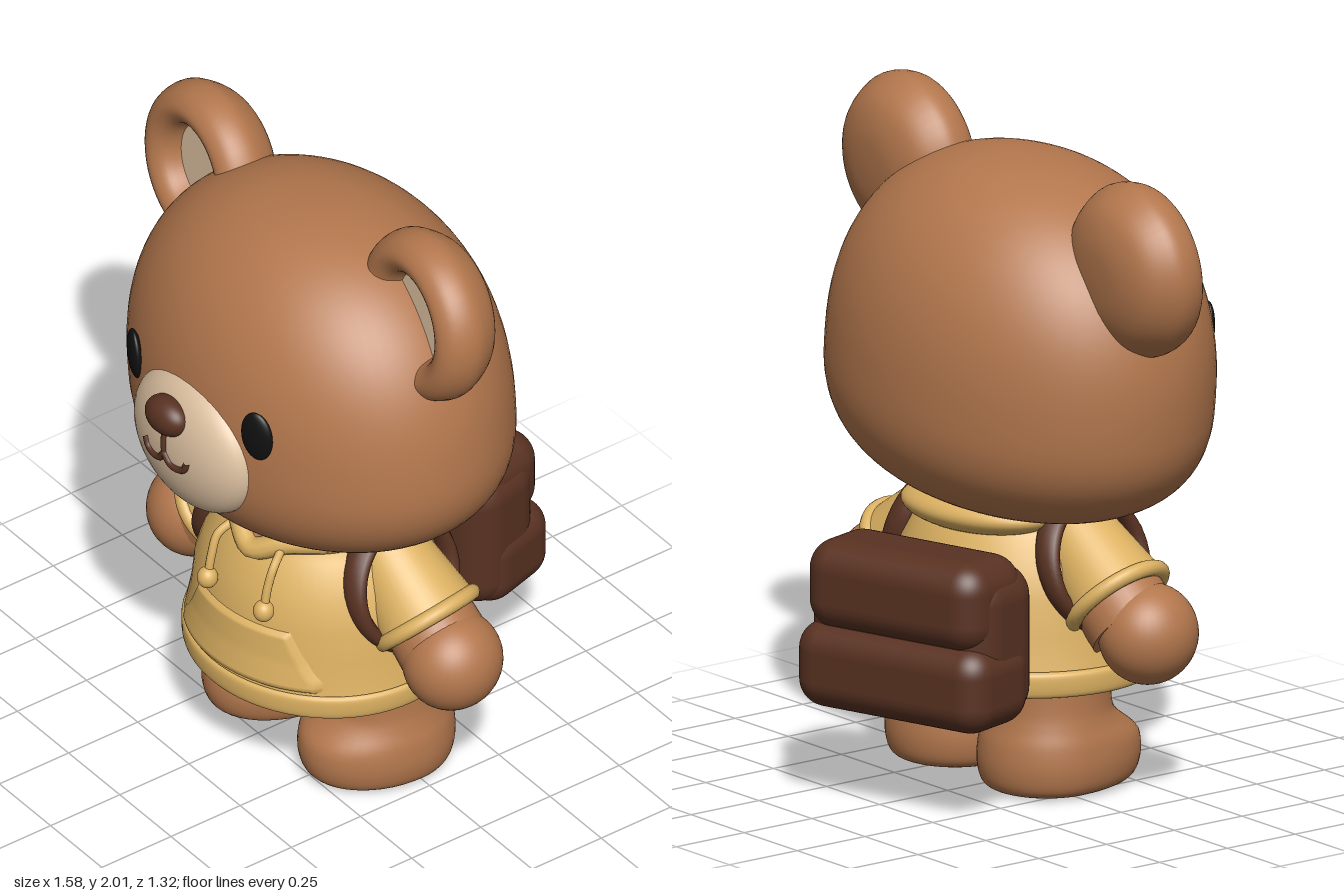
import * as THREE from 'three';
import { mergeVertices } from 'three/addons/utils/BufferGeometryUtils.js';
import { RoundedBoxGeometry } from 'three/addons/geometries/RoundedBoxGeometry.js';

const mat = (name, color, side = THREE.FrontSide) => {
  const m = new THREE.MeshStandardMaterial({ color, side });
  m.name = name;
  return m;
};
const V = (x, y, z = 0) => new THREE.Vector3(x, y, z);
const V2 = (a) => a.map(([x, y]) => new THREE.Vector2(x, y));
const curved = (a, n) => new THREE.SplineCurve(V2(a)).getPoints(n).map((p) => p.setX(Math.max(0, p.x)));

// Weld seams so that normals run smoothly all the way round
function smooth(g) {
  g.deleteAttribute('uv');
  g.deleteAttribute('normal');
  g = mergeVertices(g, 1e-4);
  g.computeVertexNormals();
  return g;
}
function warp(g, fn) {
  const p = g.attributes.position, v = V(0, 0);
  for (let i = 0; i < p.count; i++) {
    v.fromBufferAttribute(p, i);
    fn(v);
    p.setXYZ(i, v.x, v.y, v.z);
  }
  return smooth(g);
}

export function createModel() {
  const fur = mat('brown fur', 0xb3774d);
  const cream = mat('cream', 0xdcc0a0);
  const cloth = mat('yellow cloth', 0xdcb162, THREE.DoubleSide);
  const leather = mat('dark brown leather', 0x593222);
  const black = mat('black', 0x101010);

  const root = new THREE.Group();
  const group = (name, parent, x, y, z) => {
    const g = new THREE.Group();
    g.name = name;
    g.position.set(x, y, z);
    parent.add(g);
    return g;
  };
  const add = (parent, name, geo, material, x = 0, y = 0, z = 0) => {
    const m = new THREE.Mesh(geo, material);
    m.name = name;
    m.position.set(x, y, z);
    parent.add(m);
    return m;
  };
  const ball = (parent, name, material, c, r) => {
    const m = add(parent, name, new THREE.SphereGeometry(1, 40, 28), material, ...c);
    m.scale.set(...r);
    return m;
  };
  const tube = (parent, name, pts, r, material, closed = false, n = 24) =>
    add(parent, name, new THREE.TubeGeometry(new THREE.CatmullRomCurve3(pts, closed), n, r, 10, closed), material);

  // ---- Head: a wide rounded form, tall above and flat below, tilted sideways
  const head = group('head', root, 0.04, 1.23, 0.05);
  head.rotation.z = 0.1;
  const TOP = 0.645, LOW = 0.4, NT = 2.25, NL = 2.6;
  const prof = [];
  for (let i = 0; i <= 48; i++) {
    const t = -Math.PI / 2 + (i / 48) * Math.PI, n = t > 0 ? NT : NL;
    const s = Math.abs(Math.sin(t)) ** (2 / n), c = Math.max(0, Math.cos(t)) ** (2 / n);
    prof.push([i % 48 ? c : 0, t > 0 ? s * TOP : -s * LOW]);
  }
  const skull = add(head, 'skull', smooth(new THREE.LatheGeometry(V2(prof), 72)), fur);
  skull.scale.set(0.67, 1, 0.5);
  const headZ = (x, y) => 0.5 * Math.sqrt((1 - (y / TOP) ** NT) ** (2 / NT) - (x / 0.67) ** 2);

  const earShell = smooth(new THREE.LatheGeometry(curved([[0, -0.12], [0.11, -0.112], [0.2, -0.075],
    [0.25, -0.01], [0.26, 0.04], [0.24, 0.095], [0.195, 0.122], [0.15, 0.1], [0.13, 0.05], [0.125, 0.01]], 40), 48)
    .rotateX(Math.PI / 2));
  for (const s of [-1, 1]) {
    const side = s > 0 ? 'left' : 'right';
    const ear = group(side + 'Ear', head, s * 0.535, 0.468, -0.055);
    ear.rotation.set(-0.08, -0.06, 0);
    add(ear, 'earShell', earShell, fur);
    add(ear, 'innerEar', new THREE.CircleGeometry(0.14, 40), cream, 0, 0, 0.045);
    const eye = ball(head, side + 'Eye', black, [s * 0.3, 0.135, headZ(0.3, 0.135) + 0.005], [0.052, 0.08, 0.02]);
    eye.rotation.y = s * 0.4;
  }

  // Muzzle, nose and mouth
  ball(head, 'muzzle', cream, [0, -0.012, 0.45], [0.265, 0.222, 0.12]);
  ball(head, 'nose', leather, [-0.005, 0.105, 0.545], [0.084, 0.06, 0.055]);
  const onMuzzle = (x, y) =>
    V(x, y, 0.45 + 0.12 * Math.sqrt(1 - (x / 0.265) ** 2 - ((y + 0.012) / 0.222) ** 2));
  tube(head, 'lipLine', [onMuzzle(0, 0.07), onMuzzle(0, 0.03), onMuzzle(0, -0.012)], 0.01, leather);
  for (const s of [-1, 1])
    tube(head, 'smile', [[0, -0.01], [0.025, -0.038], [0.06, -0.043], [0.088, -0.03], [0.1, -0.002]]
      .map(([x, y]) => onMuzzle(s * x, y)), 0.011, leather);

  // ---- Legs: round columns whose feet stretch forward
  for (const [s, x, toe] of [[-1, -0.14, 1.5], [1, 0.293, 1.36]]) {
    const leg = new THREE.LatheGeometry(curved([[0, 0.005], [0.09, 0.005], [0.15, 0.008], [0.19, 0.03], [0.205, 0.09],
      [0.2, 0.16], [0.185, 0.215], [0.175, 0.27], [0.17, 0.38]], 36), 48);
    warp(leg, (v) => {
      if (v.z > 0) v.z *= 1.12 + (toe - 1.12) * (1 - THREE.MathUtils.smoothstep(v.y, 0.14, 0.25));
    });
    add(root, s > 0 ? 'leftLeg' : 'rightLeg', smooth(leg), fur, x, 0, 0.008);
  }
  ball(root, 'hips', fur, [0.07, 0.345, 0.05], [0.33, 0.14, 0.33]);

  // ---- Torso with the hooded top, turned a little
  const body = group('body', root, 0.07, 0, 0.07);
  body.rotation.y = 0.15;
  const DEPTH = 0.93;
  const torso = [[0.415, 0.4], [0.395, 0.5], [0.385, 0.6], [0.355, 0.7], [0.3, 0.8], [0.23, 0.86], [0, 0.87]];
  const radius = (y) => {
    const i = Math.max(1, torso.findIndex((p) => p[1] >= y)), [a, b] = [torso[i - 1], torso[i]];
    return THREE.MathUtils.lerp(a[0], b[0], (y - a[1]) / (b[1] - a[1]));
  };
  const chestZ = (x, y) => DEPTH * Math.sqrt(radius(y) ** 2 - x * x);
  const top = add(body, 'hoodedTop', smooth(new THREE.LatheGeometry(V2(torso), 64)), cloth);
  const hem = add(body, 'hem', smooth(new THREE.LatheGeometry(curved([[0.3, 0.345], [0.38, 0.325], [0.41, 0.32],
    [0.422, 0.335], [0.424, 0.375], [0.418, 0.393], [0.4, 0.4]], 20), 64)), cloth);
  top.scale.z = hem.scale.z = DEPTH;

  // Collar dipping at the front, folded hood at the back
  tube(body, 'collar', [V(0, 0.8, 0.29), V(0.09, 0.84, 0.25), V(0.2, 0.855, 0.16), V(0.27, 0.855, 0),
    V(0.19, 0.85, -0.2), V(0, 0.845, -0.29), V(-0.19, 0.85, -0.2), V(-0.27, 0.855, 0),
    V(-0.2, 0.855, 0.16), V(-0.09, 0.84, 0.25)], 0.034, cloth, true, 80);
  ball(body, 'foldedHood', cloth, [0, 0.83, -0.17], [0.27, 0.07, 0.17]);
  const neck = new THREE.Shape(V2([[-0.08, 0.08], [0, 0], [0.08, 0.08]]));
  const neckGap = add(body, 'neckOpening', new THREE.ExtrudeGeometry(neck, { depth: 0.008, bevelEnabled: false }),
    fur, 0, 0.8, 0.295);
  neckGap.rotation.x = -0.8;

  // Front pocket, raised from the chest and tucked in at its edges
  const pocket = warp(new THREE.PlaneGeometry(2, 1, 28, 16), (v) => {
    const u = v.x, t = v.y + 0.5, edge = Math.abs(u) > 0.99 || t < 0.01 || t > 0.99;
    const half = t < 0.2 ? 0.285 : 0.285 - 0.1 * ((t - 0.2) / 0.8) ** 0.8;
    v.x = u * half;
    v.y = 0.405 + t * 0.195;
    v.z = chestZ(v.x, v.y) + (edge ? -0.006 : 0.014);
  });
  add(body, 'pocket', pocket, cloth);

  for (const s of [-1, 1]) {
    const side = s > 0 ? 'left' : 'right';
    // Drawstring with a bead
    tube(body, side + 'Drawstring', [V(s * 0.1, 0.83, 0.27), V(s * 0.115, 0.8, 0.315), V(s * 0.115, 0.74, 0.34),
      V(s * 0.115, 0.67, 0.355)], 0.013, cloth);
    ball(body, side + 'Bead', cloth, [s * 0.115, 0.665, 0.357], [0.031, 0.034, 0.031]);

    // Arm and sleeve, drawn along one axis from shoulder to paw
    const arm = group(side + 'Arm', body, s * 0.23, 0.775, -0.02);
    arm.quaternion.setFromUnitVectors(V(0, -1), V(s * 0.71, -0.7).normalize());
    add(arm, 'sleeve', new THREE.CylinderGeometry(0.115, 0.158, 0.26, 40, 1, true), cloth, 0, -0.13, 0);
    ball(arm, 'shoulder', cloth, [0, 0, 0], [0.115, 0.1, 0.115]);
    const cuff = add(arm, 'cuff', new THREE.TorusGeometry(0.15, 0.024, 12, 40), cloth, 0, -0.255, 0);
    cuff.rotation.x = Math.PI / 2;
    ball(body, side + 'Paw', fur, [s * 0.525, 0.51, -0.01], [0.143, 0.15, 0.152]);
    add(arm, 'forearm', new THREE.CylinderGeometry(0.135, 0.14, 0.16, 32), fur, 0, -0.27, 0);

    // Shoulder strap: a flattened ring that spreads outward lower down
    const strap = warp(new THREE.TorusGeometry(0.185, 0.025, 12, 56).scale(1, 1, 1.7).rotateY(Math.PI / 2), (v) => {
      v.x += s * (0.31 - v.y * 0.28);
    });
    add(body, side + 'Strap', strap, leather, 0, 0.69, -0.015);
  }

  // ---- Backpack
  const pack = group('backpack', root, -0.085, 0, -0.415);
  pack.rotation.y = 0.28;
  add(pack, 'packBody', new RoundedBoxGeometry(0.66, 0.47, 0.29, 6, 0.1), leather, 0, 0.53, 0.005);
  add(pack, 'packFlap', new RoundedBoxGeometry(0.63, 0.27, 0.29, 6, 0.09), leather, 0, 0.66, -0.03);
  add(pack, 'packPouch', new RoundedBoxGeometry(0.68, 0.26, 0.3, 6, 0.085), leather, 0, 0.42, -0.04);
  return root;
}
